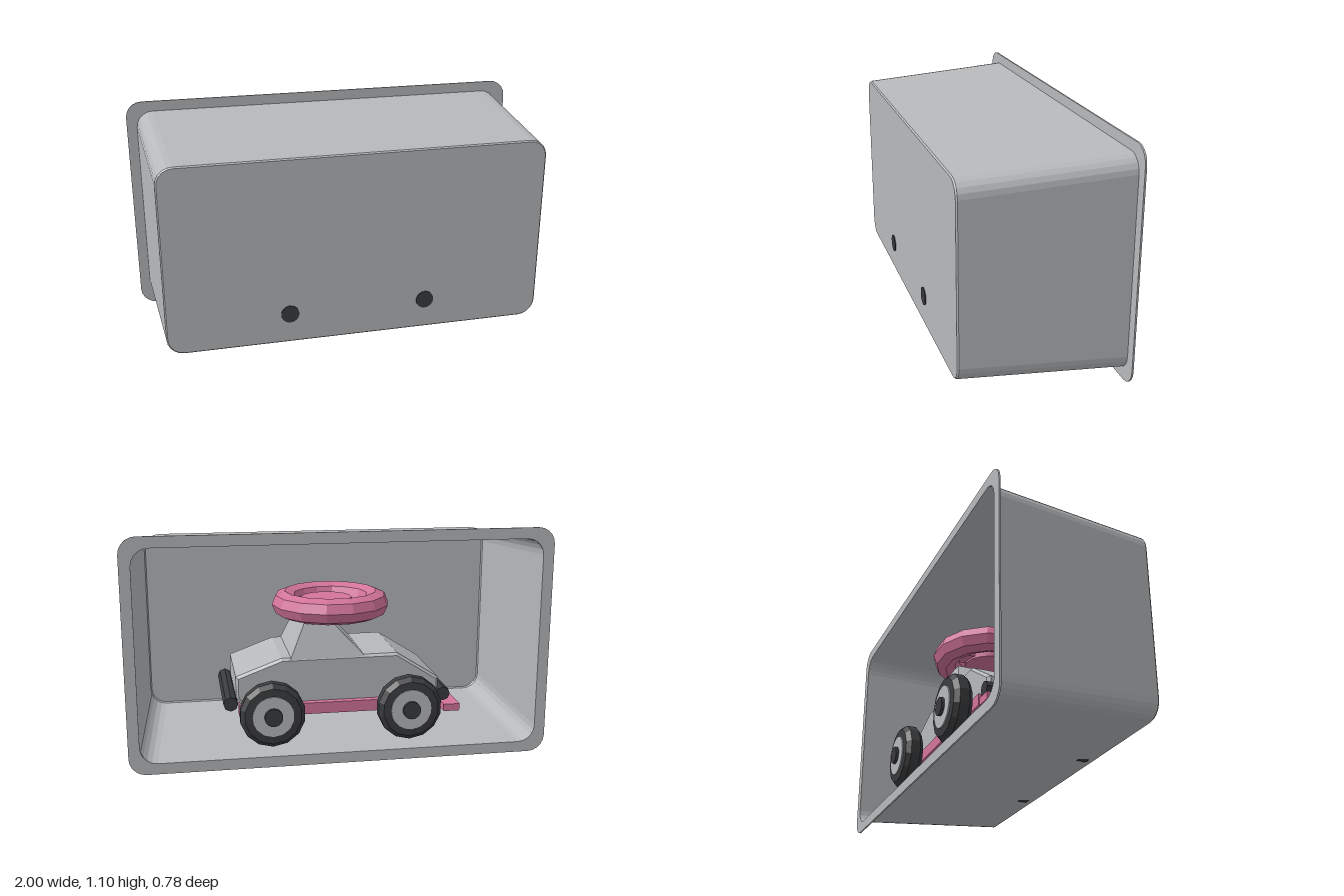
import * as THREE from 'three';

const grey = new THREE.MeshStandardMaterial({ color: 0xb6b8bb, side: THREE.DoubleSide });
grey.name = 'light grey';
const pink = new THREE.MeshStandardMaterial({ color: 0xd3749a });
pink.name = 'pink';
const dark = new THREE.MeshStandardMaterial({ color: 0x3a3b3d });
dark.name = 'dark rubber';

// Faceted normals
function flat(geometry) {
  const g = geometry.index ? geometry.toNonIndexed() : geometry;
  g.computeVertexNormals();
  return g;
}

function add(parent, name, geometry, material, x = 0, y = 0, z = 0) {
  const mesh = new THREE.Mesh(geometry, material);
  mesh.name = name;
  mesh.position.set(x, y, z);
  parent.add(mesh);
  return mesh;
}

// Rounded rectangle, anticlockwise, as corner points
function roundedRect(hw, y0, y1, r, n = 5) {
  const pts = [];
  const corners = [[hw - r, y0 + r, -1], [hw - r, y1 - r, 0], [r - hw, y1 - r, 1], [r - hw, y0 + r, 2]];
  for (const [cx, cy, q] of corners) {
    for (let i = 0; i <= n; i++) {
      const a = (q + i / n) * Math.PI / 2;
      pts.push(new THREE.Vector2(cx + r * Math.cos(a), cy + r * Math.sin(a)));
    }
  }
  return pts;
}

// Skin through equal rings of points, closed at the last ring
function loft(rings) {
  const n = rings[0].length, pos = [], idx = [];
  rings.forEach(ring => ring.forEach(p => pos.push(p.x, p.y, p.z)));
  for (let r = 0; r + 1 < rings.length; r++) {
    for (let i = 0; i < n; i++) {
      const j = (i + 1) % n, a = r * n, b = a + n;
      idx.push(a + i, a + j, b + i, a + j, b + j, b + i);
    }
  }
  const last = (rings.length - 1) * n;
  for (let i = 1; i + 1 < n; i++) idx.push(last, last + i, last + i + 1);
  const g = new THREE.BufferGeometry();
  g.setAttribute('position', new THREE.Float32BufferAttribute(pos, 3));
  g.setIndex(idx);
  return flat(g);
}

// Tapered tray, open at the back, with a flat rim
function buildTray() {
  const tray = new THREE.Group();
  tray.name = 'tray';
  const sections = [
    [0.95, 0.05, 1.053, 0.08, -0.378],
    [0.908, 0.095, 1.008, 0.08, 0.378],
    [0.902, 0.101, 1.002, 0.075, 0.385],
  ];
  const rings = sections.map(([hw, y0, y1, r, z]) =>
    roundedRect(hw, y0, y1, r).map(p => new THREE.Vector3(p.x, p.y, z)));
  add(tray, 'trayShell', loft(rings), grey);

  const rim = new THREE.Shape(roundedRect(1, 0, 1.103, 0.08));
  rim.holes.push(new THREE.Path(roundedRect(0.948, 0.052, 1.051, 0.08).reverse()));
  add(tray, 'trayRim', new THREE.ExtrudeGeometry(rim, { depth: 0.008, bevelEnabled: false }), grey, 0, 0, -0.384);
  return tray;
}

// Wheel with its axle along z, outer side towards +z
function buildWheel() {
  const wheel = new THREE.Group();
  wheel.name = 'wheel';
  const profile = [[0, -0.05], [0.135, -0.05], [0.156, -0.03], [0.156, 0.015], [0.135, 0.037], [0.1, 0.04], [0, 0.04]]
    .map(([r, h]) => new THREE.Vector2(r, h));
  const tyre = flat(new THREE.LatheGeometry(profile, 14).rotateX(Math.PI / 2));
  add(wheel, 'tyre', tyre, dark);
  const disc = (r, d) => new THREE.CylinderGeometry(r, r, d, 20).rotateX(Math.PI / 2);
  add(wheel, 'wheelRim', disc(0.098, 0.01), grey, 0, 0, 0.041);
  add(wheel, 'hubCap', disc(0.043, 0.02), dark, 0, 0, 0.05);
  return wheel;
}

function buildCar() {
  const car = new THREE.Group();
  car.name = 'car';

  // Wedge hull, nose towards -x
  const side = [[-0.49, 0.28], [-0.45, 0.25], [0.45, 0.25], [0.48, 0.3], [0.48, 0.39], [0.27, 0.468], [-0.29, 0.472], [-0.49, 0.345]];
  const hull = new THREE.ExtrudeGeometry(new THREE.Shape(side.map(p => new THREE.Vector2(...p))),
    { depth: 0.42, bevelThickness: 0.015, bevelSize: 0.012, bevelSegments: 1 });
  add(car, 'hull', hull, grey, 0, 0, -0.21);

  // Cabin with a longer slope at the nose side
  const ring = (x0, x1, hz, y) => [[x1, hz], [x1, -hz], [x0, -hz], [x0, hz]]
    .map(([x, z]) => new THREE.Vector3(x, y, z));
  add(car, 'cabin', loft([ring(-0.15, 0.235, 0.225, 0.46), ring(0.03, 0.15, 0.165, 0.65)]), grey);

  // Large ring on the roof, with hub and spokes
  const roofRing = new THREE.Group();
  roofRing.name = 'roofRing';
  roofRing.position.set(0, 0.7, 0);
  add(roofRing, 'ring', flat(new THREE.TorusGeometry(0.228, 0.064, 8, 14).rotateX(Math.PI / 2)), pink);
  add(roofRing, 'ringHub', new THREE.CylinderGeometry(0.125, 0.125, 0.06, 14), pink, 0.02, 0, 0);
  add(roofRing, 'rearSpoke', new THREE.BoxGeometry(0.14, 0.04, 0.16), pink, 0.14, 0, 0);
  for (const s of [-1, 1]) add(roofRing, 'sideSpoke', new THREE.BoxGeometry(0.09, 0.04, 0.12), pink, 0, 0, s * 0.14);
  car.add(roofRing);

  // Side rails, axles and wheels
  for (const s of [-1, 1]) {
    add(car, 'sideRail', new THREE.BoxGeometry(0.96, 0.055, 0.07), pink, 0, 0.238, s * 0.225);
    const axle = new THREE.CylinderGeometry(0.03, 0.03, 0.6, 10).rotateX(Math.PI / 2);
    add(car, 'axle', axle, dark, s * 0.33, 0.243, 0);
    for (const t of [-1, 1]) {
      const wheel = buildWheel();
      wheel.position.set(s * 0.33, 0.243, t * 0.33);
      if (t < 0) wheel.rotation.y = Math.PI;
      car.add(wheel);
    }
    // Dark bumper roll at each end
    const roll = flat(new THREE.CylinderGeometry(0.035, 0.035, 0.5, 8).rotateX(Math.PI / 2));
    add(car, 'bumperRoll', roll, dark, s * 0.52, 0.275, 0);
  }
  add(car, 'frontBumper', new THREE.BoxGeometry(0.08, 0.035, 0.54), pink, -0.56, 0.208, 0);
  add(car, 'bumperMount', new THREE.BoxGeometry(0.12, 0.03, 0.2), pink, -0.48, 0.218, 0);
  return car;
}

export function createModel() {
  const model = new THREE.Group();
  model.name = 'carInTray';
  model.add(buildTray(), buildCar());
  return model;
}
